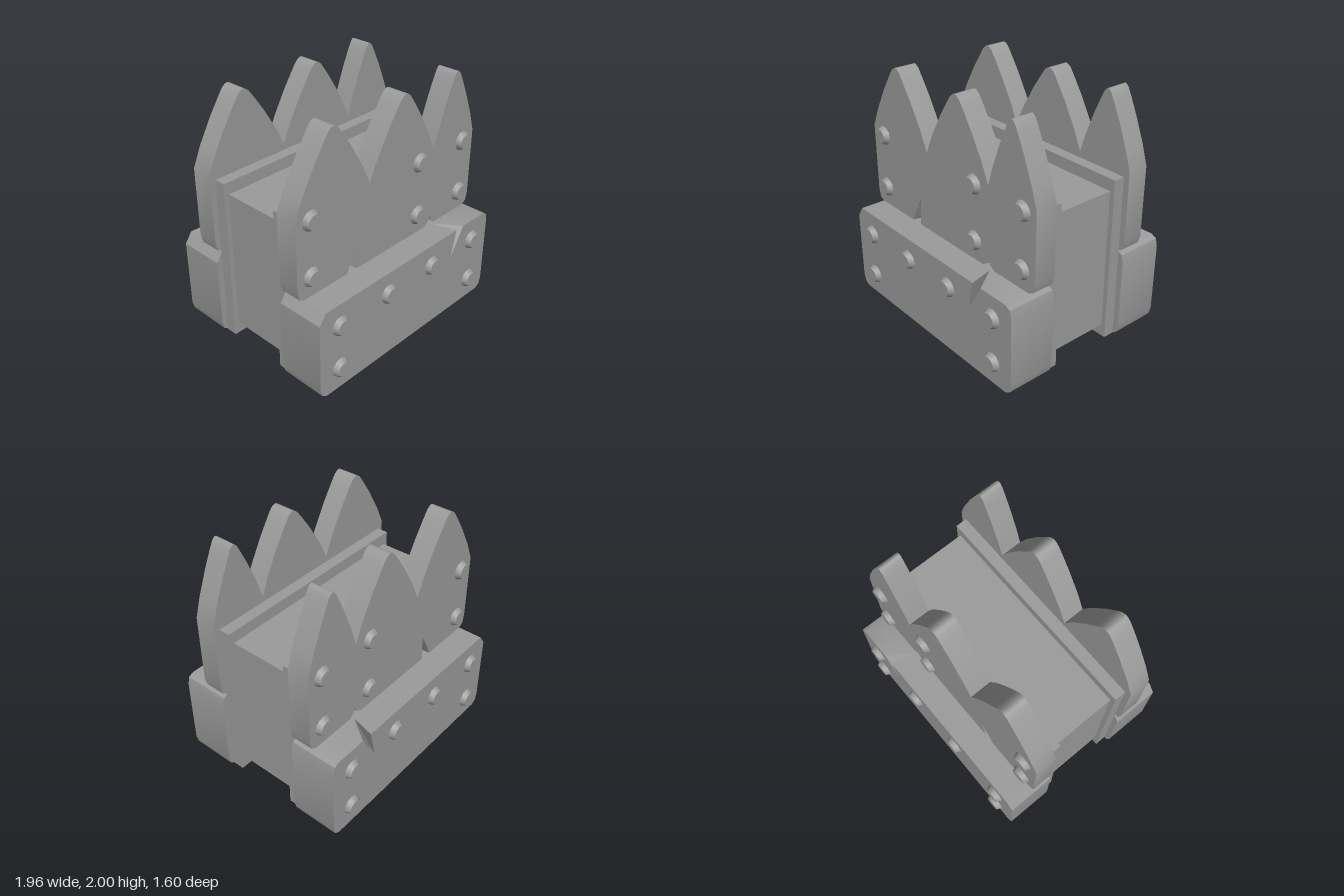
import * as THREE from 'three';
import { toCreasedNormals } from 'three/addons/utils/BufferGeometryUtils.js';

const material = new THREE.MeshStandardMaterial({ color: 0x9b9b9b });
const SEAM = 0.757; // height where the spiked board meets the lower beam

function add(parent, name, geometry, x = 0, y = 0, z = 0) {
  const mesh = new THREE.Mesh(geometry, material);
  mesh.name = name;
  mesh.position.set(x, y, z);
  parent.add(mesh);
  return mesh;
}

// One pointed plank top, from valley to valley (last valley left out)
function spike(x0, peak, x1) {
  const rise = [
    [0, 1.43], [0.2, 1.59], [0.52, 1.79], [0.76, 1.92], [0.87, 1.975], [0.94, 1.994], [0.98, 1.9995],
  ];
  const left = rise.map(([t, y]) => [x0 + (peak - x0) * t, y]);
  const right = rise.slice(1).reverse().map(([t, y]) => [x1 + (peak - x1) * t, y]);
  return [...left, [peak, 2], ...right];
}

// Extruded board; a crack's edge points move to its inner points halfway into the depth
function boardGeometry(outline, crack, depth, m) {
  const shape = new THREE.Shape(outline.map(([x, y]) => new THREE.Vector2(x * m, y)));
  const geometry = new THREE.ExtrudeGeometry(shape, { depth, steps: 2, bevelEnabled: false });
  const pos = geometry.attributes.position;
  for (let i = 0; i < pos.count; i++) {
    if (pos.getZ(i) > depth * 0.75) continue;
    const k = crack.edge.findIndex(
      ([x, y]) => Math.hypot(x * m - pos.getX(i), y - pos.getY(i)) < 1e-4);
    if (k >= 0) pos.setXY(i, crack.inner[k][0] * m, crack.inner[k][1]);
  }
  return toCreasedNormals(geometry, 0.5);
}

function addBolts(parent, spots, z, m) {
  for (const [x, y] of spots) {
    const geometry = new THREE.CylinderGeometry(0.06, 0.08, 0.043, 12);
    geometry.rotateX(Math.PI / 2);
    add(parent, 'bolt', toCreasedNormals(geometry, 0.7), x * m, y, z + 0.0215);
  }
}

// One face of the barricade; m = -1 mirrors x so the turned copy lines up
function createSide(m) {
  const side = new THREE.Group();
  side.name = m > 0 ? 'frontSide' : 'backSide';

  add(side, 'backingPanel', new THREE.BoxGeometry(1.86, 1.38, 0.095), 0, 0.69, 0.3125);

  // Upper board with three spikes, a slanting slit and a small chip cut straight through
  const slit = {
    edge: [[-0.48, SEAM], [-0.425, 0.88], [-0.36, 0.99], [-0.38, SEAM]],
    inner: [[-0.465, SEAM], [-0.385, 0.9], [-0.36, 0.99], [-0.38, SEAM]],
  };
  const chip = [[0.41, SEAM], [0.465, 0.79], [0.48, 0.845], [0.495, 0.79], [0.54, SEAM]];
  const upper = [
    ...spike(-0.98, -0.62, -0.25), ...spike(-0.25, 0.12, 0.48), ...spike(0.48, 0.725, 0.98),
    [0.98, 1.43], [0.98, 0.85], [0.963, 0.783], [0.92, SEAM],
    ...chip.reverse(), ...[...slit.edge].reverse(),
    [-0.92, SEAM], [-0.963, 0.78], [-0.98, 0.85],
  ];
  add(side, 'spikedBoard', boardGeometry(upper, slit, 0.18, m), 0, 0, 0.36);

  // Thick lower beam with worn corners and a split in its top edge
  const tip = [0.51, SEAM];
  const split = { edge: [[0.56, SEAM], [0.51, 0.525], [0.65, SEAM]], inner: [tip, tip, tip] };
  const lower = [
    [-0.92, SEAM], ...split.edge, [0.92, SEAM], [0.965, 0.735], [0.98, 0.67],
    [0.98, 0.09], [0.963, 0.024], [0.92, 0], [-0.92, 0], [-0.963, 0.027], [-0.98, 0.09],
    [-0.98, 0.67],
  ];
  add(side, 'lowerBeam', boardGeometry(lower, split, 0.395, m), 0, 0, 0.36);

  const upperSpots = [1.38, 0.92].flatMap((y) => [-0.84, 0.315, 0.84].map((x) => [x, y]));
  addBolts(side, upperSpots, 0.54, m);
  const lowerSpots = [
    [-0.775, 0.57], [-0.255, 0.57], [0.255, 0.57], [0.775, 0.57], [-0.775, 0.187], [0.775, 0.187],
  ];
  addBolts(side, lowerSpots, 0.755, m);

  if (m < 0) side.rotation.y = Math.PI;
  return side;
}

export function createModel() {
  const model = new THREE.Group();
  model.name = 'spikedBarricade';
  add(model, 'core', new THREE.BoxGeometry(1.78, 1.18, 0.54), 0, 0.69, 0);
  model.add(createSide(1), createSide(-1));
  return model;
}
